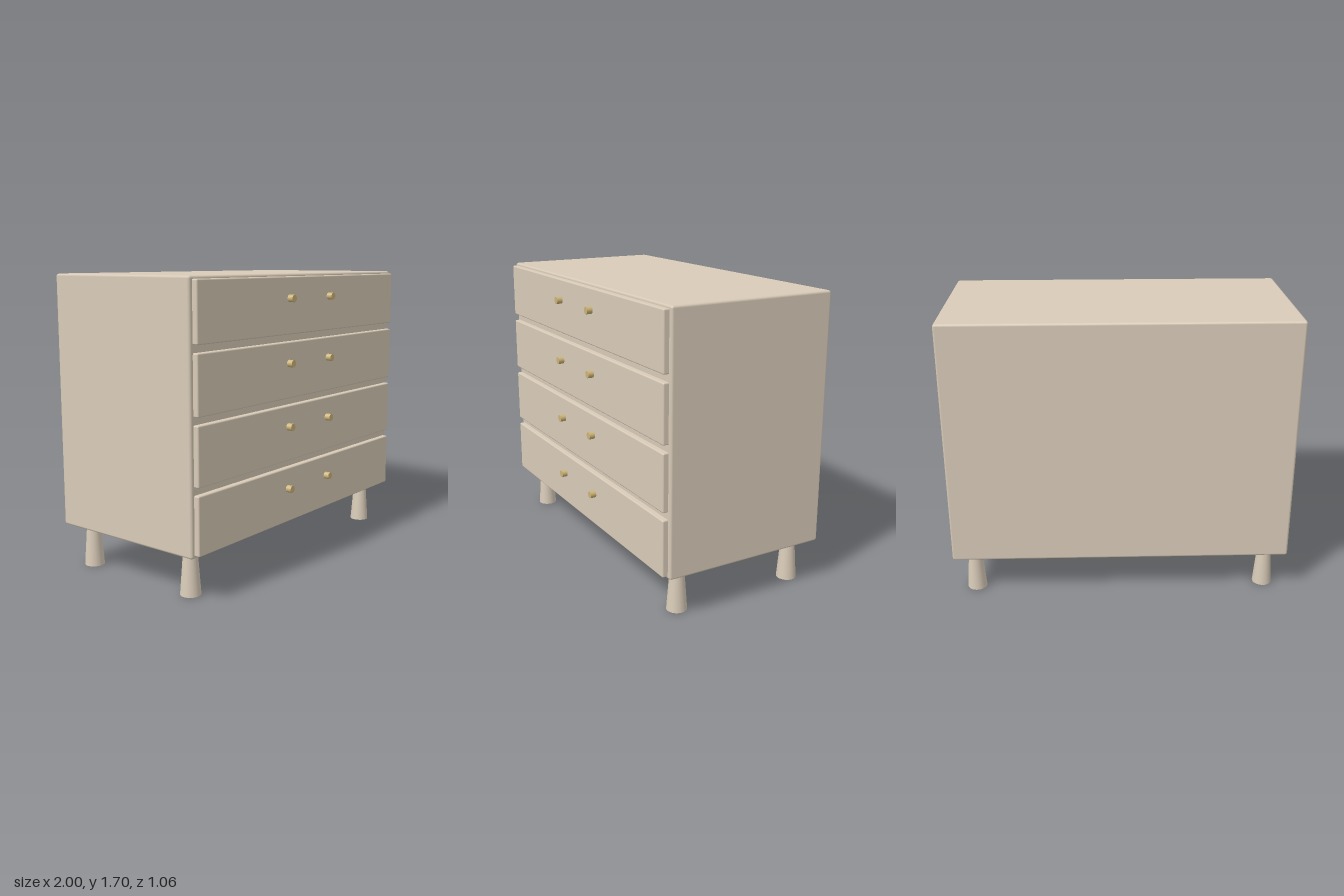
import * as THREE from 'three';
import { RoundedBoxGeometry } from 'three/addons/geometries/RoundedBoxGeometry.js';

const wood = new THREE.MeshStandardMaterial({ color: 0xd9cbb8 });
const brass = new THREE.MeshStandardMaterial({ color: 0xcdb57a });

function addPart(parent, name, geometry, material, x, y, z) {
  const mesh = new THREE.Mesh(geometry, material);
  mesh.name = name;
  mesh.position.set(x, y, z);
  parent.add(mesh);
  return mesh;
}

export function createModel() {
  const model = new THREE.Group();
  model.name = 'chestOfDrawers';

  // Cabinet body with softened edges
  addPart(model, 'cabinet', new RoundedBoxGeometry(2, 1.45, 0.995, 1, 0.014), wood, 0, 0.973, -0.031);

  // Four drawer fronts, each with a pair of round knobs
  const frontGeometry = new RoundedBoxGeometry(1.954, 0.324, 0.05, 1, 0.008);
  const knobGeometry = new THREE.CylinderGeometry(0.021, 0.021, 0.034, 24).rotateX(Math.PI / 2);
  for (let i = 0; i < 4; i++) {
    const drawer = new THREE.Group();
    drawer.name = 'drawer' + (i + 1);
    drawer.position.y = 0.425 + i * 0.365;
    addPart(drawer, 'drawerFront', frontGeometry, wood, 0, 0, 0.473);
    for (const side of [-1, 1]) {
      addPart(drawer, side > 0 ? 'leftKnob' : 'rightKnob', knobGeometry, brass, side * 0.2, 0.041, 0.519);
    }
    model.add(drawer);
  }

  // Tapered legs, wider at the floor
  const legGeometry = new THREE.CylinderGeometry(0.039, 0.058, 0.25, 32);
  for (const side of [-1, 1]) {
    for (const end of [-1, 1]) {
      const name = (end > 0 ? 'front' : 'back') + (side > 0 ? 'Left' : 'Right') + 'Leg';
      addPart(model, name, legGeometry, wood, side * 0.88, 0.125, -0.031 + end * 0.38);
    }
  }
  return model;
}
